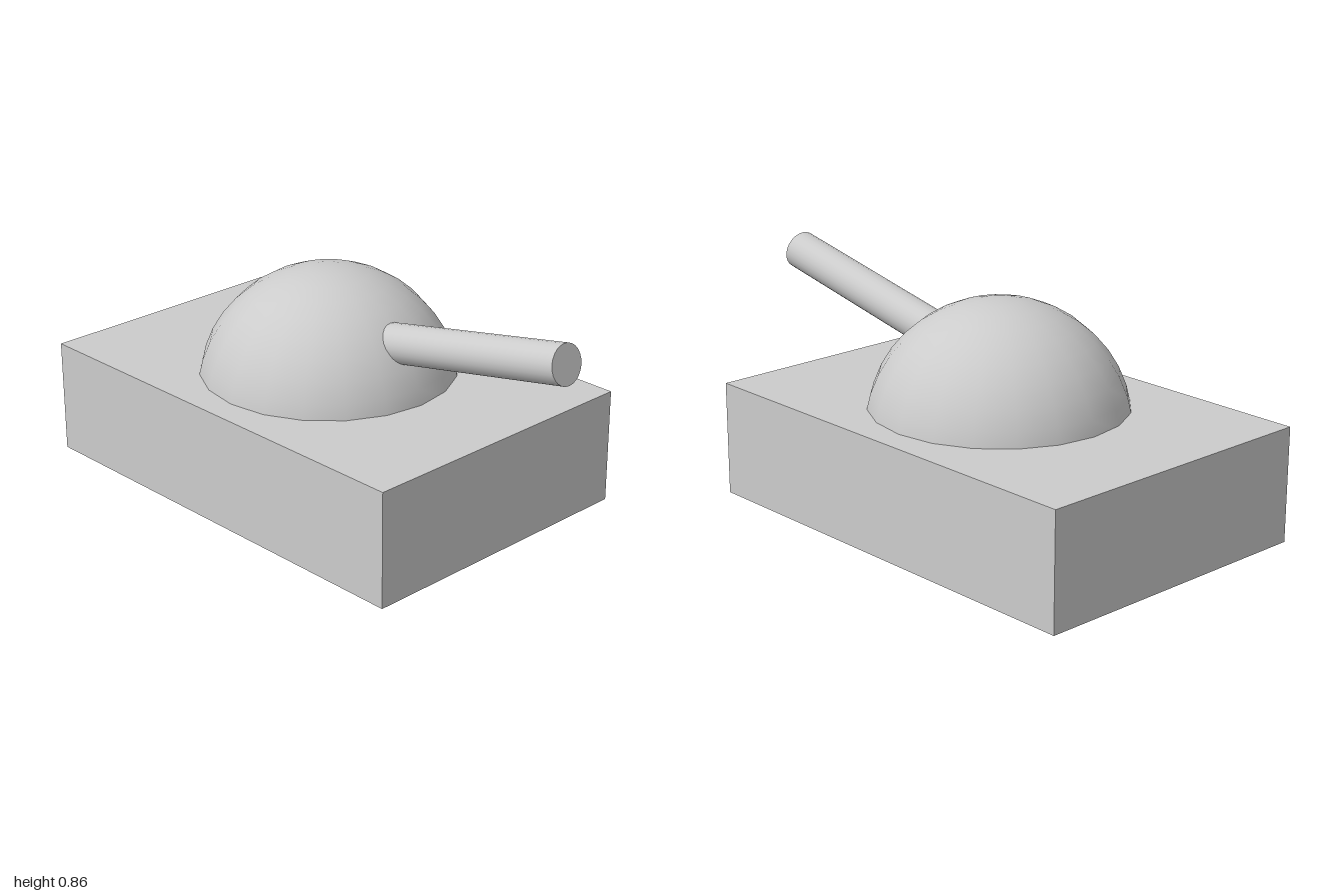
import * as THREE from 'three';

export function createModel() {
  const model = new THREE.Group();
  const material = new THREE.MeshStandardMaterial({ color: 0xcccccc });
  const add = (name, geometry, x, y, z) => {
    const mesh = new THREE.Mesh(geometry, material);
    mesh.name = name;
    mesh.position.set(x, y, z);
    model.add(mesh);
    return mesh;
  };
  const centreZ = -0.14;

  // Flat rectangular hull
  add('hull', new THREE.BoxGeometry(1.146, 0.43, 1.72), 0, 0.215, centreZ);

  // Domed turret, its rim sunk into the hull
  add('turret', new THREE.SphereGeometry(0.484, 20, 10, 0, Math.PI * 2, 0, Math.PI / 2), 0, 0.336, centreZ);

  // Raised barrel running from inside the turret to the muzzle
  const muzzle = new THREE.Vector3(0, 0.788, 0.985);
  const direction = new THREE.Vector3(0, 0.2, 0.98).normalize();
  const length = 1.1;
  const centre = muzzle.clone().addScaledVector(direction, -length / 2);
  const barrel = add('barrel', new THREE.CylinderGeometry(0.0725, 0.0725, length, 24), centre.x, centre.y, centre.z);
  barrel.quaternion.setFromUnitVectors(new THREE.Vector3(0, 1, 0), direction);

  return model;
}
